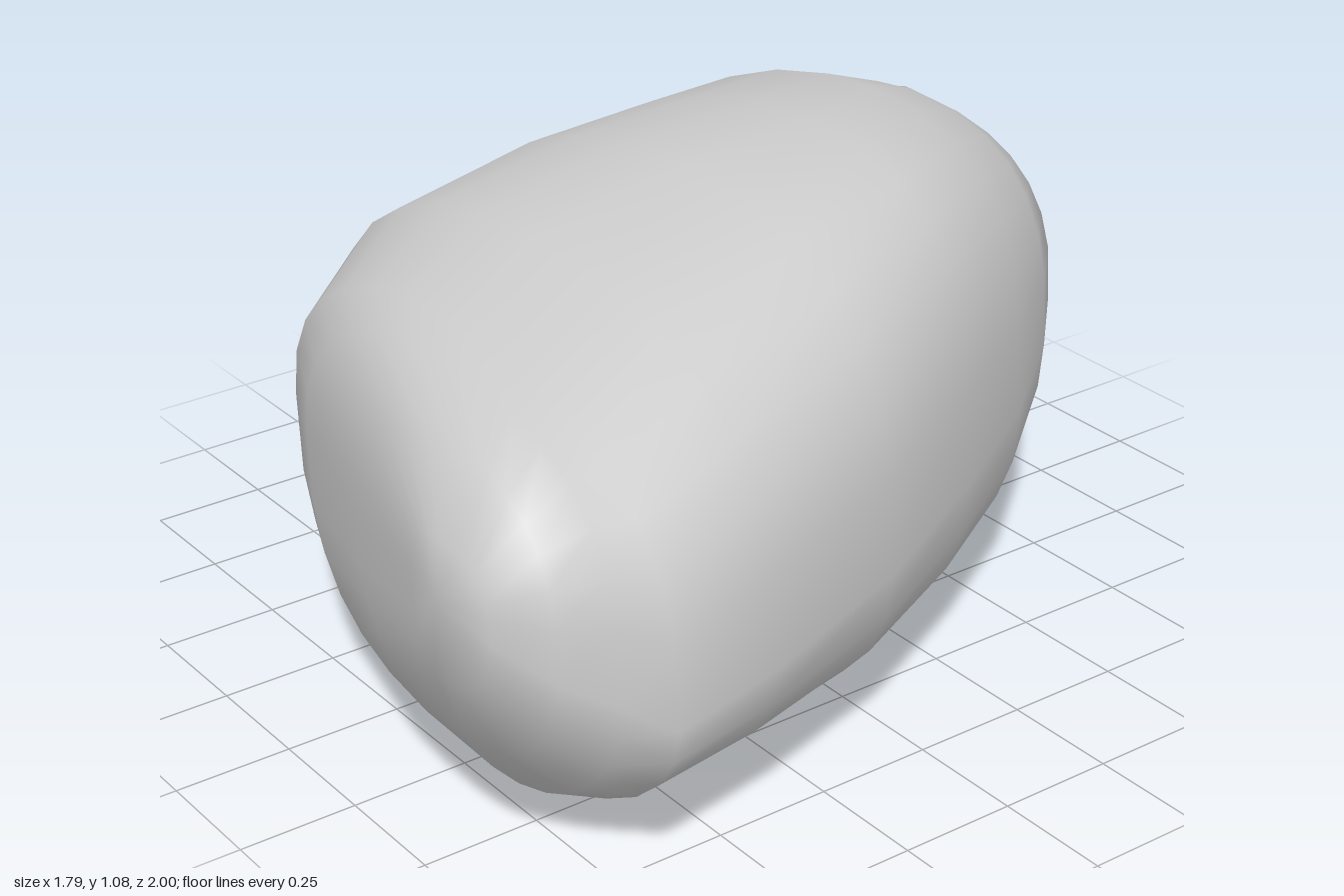
import * as THREE from 'three';
import { mergeVertices } from 'three/addons/utils/BufferGeometryUtils.js';

// Cross-sections from back to front:
// z, then x,y of the right, top, left and bottom extremes
const SECTIONS = [
  [-1.0, -0.56, 0.71, -0.56, 0.71, -0.56, 0.71, -0.56, 0.71],
  [-0.97, -0.41, 0.66, -0.5, 0.76, -0.58, 0.67, -0.5, 0.55],
  [-0.91, -0.17, 0.6, -0.42, 0.84, -0.62, 0.54, -0.44, 0.34],
  [-0.84, 0.16, 0.54, -0.32, 0.88, -0.75, 0.48, -0.37, 0.22],
  [-0.73, 0.27, 0.5, -0.2, 0.94, -0.86, 0.49, -0.3, 0.12],
  [-0.5, 0.45, 0.48, -0.05, 1.04, -0.9, 0.55, -0.22, 0.01],
  [-0.22, 0.61, 0.46, 0.1, 1.075, -0.84, 0.52, -0.02, 0],
  [0.1, 0.76, 0.43, 0.1, 1.055, -0.78, 0.5, 0.1, 0],
  [0.45, 0.85, 0.39, 0.08, 0.985, -0.67, 0.51, 0.17, 0.01],
  [0.7, 0.89, 0.37, 0.2, 0.915, -0.43, 0.53, 0.3, 0.04],
  [0.78, 0.83, 0.42, 0.33, 0.885, -0.25, 0.54, 0.4, 0.08],
  [0.9, 0.81, 0.5, 0.5, 0.84, 0.14, 0.56, 0.5, 0.24],
  [0.98, 0.72, 0.57, 0.56, 0.71, 0.46, 0.58, 0.57, 0.42],
  [1.0, 0.57, 0.6, 0.57, 0.6, 0.57, 0.6, 0.57, 0.6],
];
// Squareness of each quarter: top right, top left, bottom left, bottom right
const BACK_POWERS = [2.8, 1.5, 2.5, 2.4];
const FRONT_POWERS = [2.6, 2.35, 3, 1.85];
const SEGMENTS = 28;

// Point on a section's outline, made of four rounded quarters
function outlinePoint([z, rx, ry, tx, ty, lx, ly, bx, by], j) {
  const angle = (j / SEGMENTS) * Math.PI * 2;
  const quarter = Math.floor((j * 4) / SEGMENTS);
  const power = 2 / THREE.MathUtils.lerp(BACK_POWERS[quarter], FRONT_POWERS[quarter], (z + 1) / 2);
  const c = Math.abs(Math.cos(angle)) ** power;
  const s = Math.abs(Math.sin(angle)) ** power;
  const [sideX, sideY] = quarter === 0 || quarter === 3 ? [rx, ry] : [lx, ly];
  const [endX, endY] = quarter < 2 ? [tx, ty] : [bx, by];
  return [endX + (sideX - endX) * c, sideY + (endY - sideY) * s, z];
}

function boulderGeometry() {
  const positions = [];
  const index = [];
  const last = SECTIONS.length - 2;
  SECTIONS.forEach((section, i) => {
    for (let j = 0; j < SEGMENTS; j++) {
      positions.push(...outlinePoint(section, j));
      if (i > last) continue;
      const a = i * SEGMENTS + j;
      const b = i * SEGMENTS + ((j + 1) % SEGMENTS);
      const c = a + SEGMENTS;
      const d = b + SEGMENTS;
      // Single triangles where a band closes to a tip
      if (i > 0) index.push(a, b, c);
      if (i < last) index.push(b, d, c);
    }
  });
  const geometry = new THREE.BufferGeometry();
  geometry.setAttribute('position', new THREE.Float32BufferAttribute(positions, 3));
  geometry.setIndex(index);
  // Weld the two tips so that shading is smooth all over
  const welded = mergeVertices(geometry, 1e-4);
  welded.computeVertexNormals();
  return welded;
}

export function createModel() {
  const group = new THREE.Group();
  group.name = 'rock';
  const material = new THREE.MeshStandardMaterial({ color: 0xcccccc });
  const boulder = new THREE.Mesh(boulderGeometry(), material);
  boulder.name = 'boulder';
  group.add(boulder);
  return group;
}
